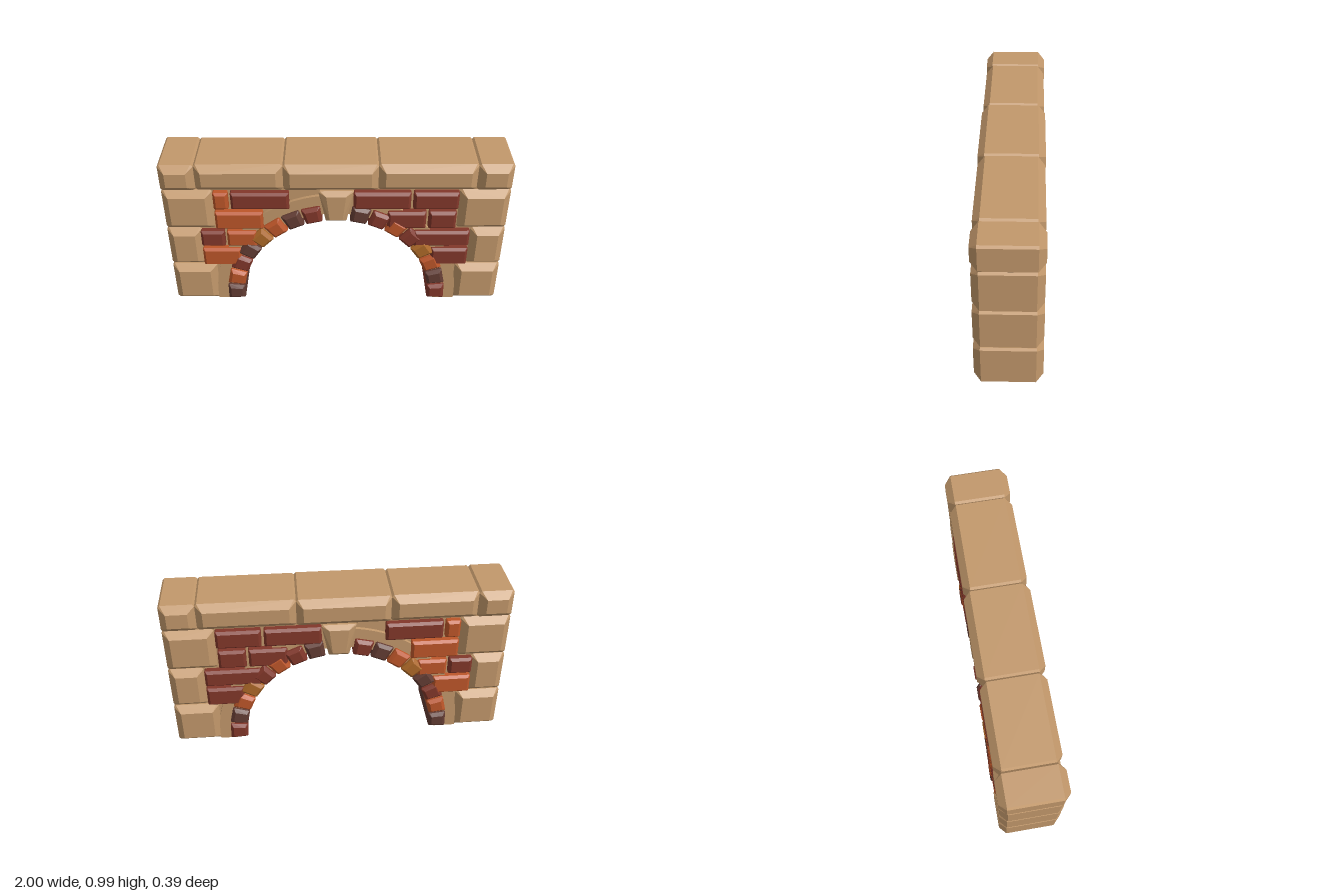
import * as THREE from 'three';
import { ConvexGeometry } from 'three/addons/geometries/ConvexGeometry.js';

const ARCH_Y = 0.05; // height of the arch centre

function material(name, color) {
  const m = new THREE.MeshStandardMaterial({ color });
  m.name = name;
  return m;
}

// Block with bevelled front and back faces; topScale widens or narrows its top
function blockGeometry(w, h, d, bevel, edge, topScale = 1) {
  const pts = [];
  const add = (x, y, z) => pts.push(new THREE.Vector3(x * (1 + (topScale - 1) * (y / h + 0.5)), y, z));
  for (const sx of [-1, 1]) for (const sy of [-1, 1]) for (const sz of [-1, 1]) {
    const x = w / 2, y = h / 2, z = d / 2;
    add(sx * (x - bevel), sy * (y - bevel), sz * z);
    add(sx * x, sy * (y - edge), sz * (z - bevel));
    add(sx * (x - edge), sy * y, sz * (z - bevel));
  }
  return new ConvexGeometry(pts);
}

// Upright slab outline that follows the opening of the arch
function archOpening(shape, r) {
  shape.lineTo(r, 0);
  shape.lineTo(r, ARCH_Y);
  shape.absarc(0, ARCH_Y, r, 0, Math.PI, false);
  shape.lineTo(-r, 0);
  shape.closePath();
  return shape;
}

function slab(shape, depth) {
  return new THREE.ExtrudeGeometry(shape, { depth, bevelEnabled: false, curveSegments: 32 })
    .translate(0, 0, -depth / 2);
}

export function createModel() {
  const model = new THREE.Group();
  model.name = 'brickArchWall';
  const stone = material('sandstone', 0xc2986b);
  const red = material('darkRedBrick', 0x82372a);
  const orange = material('orangeBrick', 0xbd5629);
  const brown = material('brownBrick', 0x633c33);
  const amber = material('amberBrick', 0xae6928);

  const add = (parent, name, geometry, mat, x = 0, y = 0, turn = 0) => {
    const mesh = new THREE.Mesh(geometry, mat);
    mesh.name = name;
    mesh.position.set(x, y, 0);
    mesh.rotation.z = turn;
    parent.add(mesh);
  };
  const group = (name) => {
    const g = new THREE.Group();
    g.name = name;
    model.add(g);
    return g;
  };

  // Mortar core and the raised band behind the arch bricks
  const core = new THREE.Shape();
  core.moveTo(-0.6, 0);
  core.lineTo(-0.985, 0);
  core.lineTo(-0.985, 0.97);
  core.lineTo(0.985, 0.97);
  core.lineTo(0.985, 0);
  add(model, 'mortarCore', slab(archOpening(core, 0.6), 0.285), stone);
  const band = new THREE.Shape();
  band.moveTo(-0.74, 0);
  band.lineTo(-0.74, ARCH_Y);
  band.absarc(0, ARCH_Y, 0.74, Math.PI, 0, true);
  band.lineTo(0.74, 0);
  add(model, 'archBand', slab(archOpening(band, 0.61), 0.325), stone);

  // Large stones: [x0, x1, y0, y1, depth]
  const addStones = (name, list) => {
    const g = group(name);
    for (const [x0, x1, y0, y1, d] of list) {
      add(g, name.replace('Stones', 'Stone'), blockGeometry(x1 - x0, y1 - y0, d, 0.04, 0.012),
        stone, (x0 + x1) / 2, (y0 + y1) / 2);
    }
  };
  addStones('copingStones', [
    [-1, -0.8, 0.82, 0.99, 0.38], [-0.8, -0.3, 0.82, 0.99, 0.37], [-0.3, 0.24, 0.82, 0.99, 0.38],
    [0.24, 0.8, 0.82, 0.99, 0.37], [0.8, 1, 0.82, 0.99, 0.375],
  ]);
  for (const s of [-1, 1]) {
    const rows = [[0.73, 0, 0.275, 0.38], [0.795, 0.28, 0.55, 0.375], [0.71, 0.55, 0.82, 0.37]];
    addStones(s > 0 ? 'leftCornerStones' : 'rightCornerStones', rows.map(([inner, y0, y1, d]) =>
      (s > 0 ? [inner, 1, y0, y1, d] : [-1, -inner, y0, y1, d])));
  }

  // Wall bricks: [x0, x1, row, material]
  const rows = [[0.285, 0.41], [0.43, 0.54], [0.56, 0.68], [0.7, 0.815]];
  const wall = group('wallBricks');
  for (const [x0, x1, row, mat] of [
    [-0.8, -0.57, 0, orange],
    [-0.8, -0.66, 1, red], [-0.645, -0.47, 1, orange],
    [-0.705, -0.425, 2, orange],
    [-0.705, -0.62, 3, orange], [-0.605, -0.27, 3, red],
    [0.57, 0.79, 0, red],
    [0.46, 0.79, 1, red],
    [0.3, 0.525, 2, red], [0.54, 0.7, 2, red],
    [0.1, 0.43, 3, red], [0.445, 0.705, 3, red],
  ]) {
    const [y0, y1] = rows[row];
    add(wall, 'wallBrick', blockGeometry(x1 - x0, y1 - y0, 0.376, 0.015, 0.006), mat,
      (x0 + x1) / 2, (y0 + y1) / 2);
  }

  // Arch bricks running through the wall, from the ground up to the keystone
  const arch = group('archBricks');
  const brick = blockGeometry(0.096, 0.105, 0.386, 0.018, 0.006, 1.19);
  const place = (mat, i, side) => {
    const a = THREE.MathUtils.degToRad(1.5 + 10.8 * i);
    add(arch, 'archBrick', brick, mat, side * 0.62 * Math.cos(a), ARCH_Y + 0.62 * Math.sin(a),
      side * (a - Math.PI / 2));
  };
  [brown, orange, red, brown, amber, orange, brown, red].forEach((m, i) => place(m, i, -1));
  [red, brown, orange, amber, red, orange, red, brown].forEach((m, i) => place(m, i, 1));

  // Keystone
  add(model, 'keystone', blockGeometry(0.12, 0.21, 0.38, 0.025, 0.006, 1.7), stone, 0, 0.715);

  return model;
}
